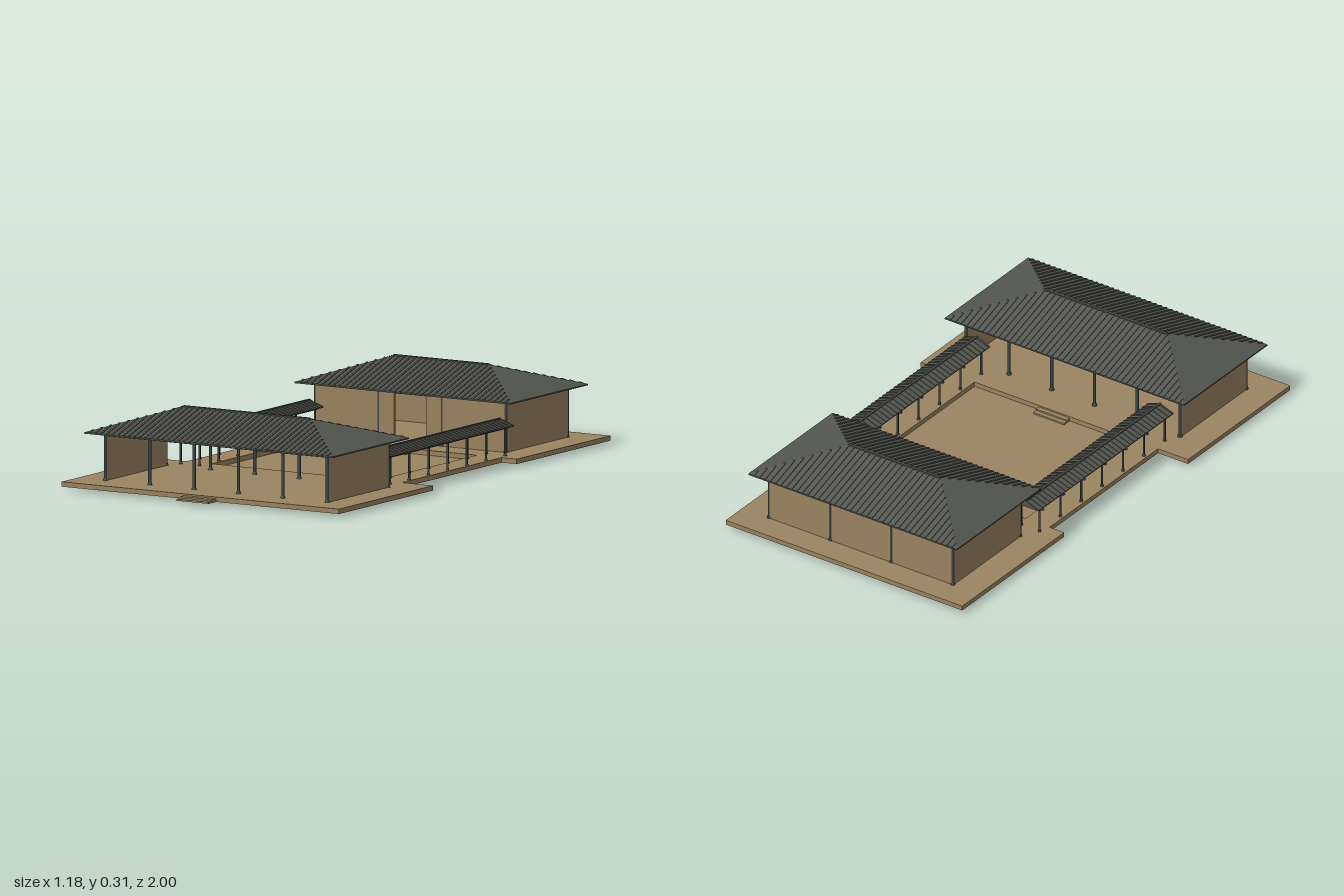
import * as THREE from 'three';
import { mergeGeometries } from 'three/addons/utils/BufferGeometryUtils.js';

const material = (name, color) => {
  const m = new THREE.MeshStandardMaterial({ color });
  m.name = name;
  return m;
};

export function createModel() {
  const sand = material('sandstone', 0x9b8461);
  const tile = material('roofTile', 0x535550);
  const wood = material('darkWood', 0x41484a);
  const model = new THREE.Group();

  const add = (parent, name, geometry, mat) => {
    const mesh = new THREE.Mesh(geometry, mat);
    mesh.name = name;
    parent.add(mesh);
    return mesh;
  };
  // Box given by its limits on each axis
  const block = (parent, name, mat, x0, x1, y0, y1, z0, z1) => {
    const g = new THREE.BoxGeometry(x1 - x0, y1 - y0, z1 - z0);
    g.translate((x0 + x1) / 2, (y0 + y1) / 2, (z0 + z1) / 2);
    return add(parent, name, g, mat);
  };
  // Bar running between two points
  const bar = (a, b, width, height) => {
    const o = new THREE.Object3D();
    const from = new THREE.Vector3(...a), to = new THREE.Vector3(...b);
    const g = new THREE.BoxGeometry(width, height, from.distanceTo(to));
    o.position.copy(from);
    o.lookAt(to);
    o.position.lerp(to, 0.5);
    o.updateMatrix();
    return g.applyMatrix4(o.matrix);
  };
  const post = (parent, x, z, y0, y1, r) => {
    const shaft = new THREE.CylinderGeometry(r, r, y1 - y0, 10);
    shaft.translate(x, (y0 + y1) / 2, z);
    const foot = new THREE.CylinderGeometry(r * 1.1, r * 1.6, 0.008, 10);
    foot.translate(x, y0 + 0.004, z);
    add(parent, 'post', mergeGeometries([shaft, foot]), wood);
  };

  // Closed hipped roof: flat soffit, thin fascia, four slopes up to a ridge
  const hipRoof = (w, d, ridge, y0, y1, y2) => {
    const rect = (y) => [[-w, y, d], [w, y, d], [w, y, -d], [-w, y, -d]];
    const lo = rect(y0), hi = rect(y1);
    const L = [-ridge, y2, 0], R = [ridge, y2, 0];
    const p = [];
    const quad = (a, b, c, e) => p.push(...a, ...b, ...c, ...a, ...c, ...e);
    quad(lo[3], lo[2], lo[1], lo[0]);
    for (let i = 0; i < 4; i++) {
      const j = (i + 1) % 4;
      quad(lo[i], lo[j], hi[j], hi[i]);
    }
    quad(hi[0], hi[1], R, L);
    quad(hi[2], hi[3], L, R);
    p.push(...hi[1], ...hi[2], ...R, ...hi[3], ...hi[0], ...L);
    const g = new THREE.BufferGeometry();
    g.setAttribute('position', new THREE.Float32BufferAttribute(p, 3));
    g.computeVertexNormals();
    return g;
  };

  // Hall roof with tile ribs on the two long slopes
  const hallRoof = (parent, w, d, ridge, eave, top) => {
    const y1 = eave + 0.005;
    add(parent, 'hipRoof', hipRoof(w, d, ridge, eave, y1, top - 0.003), tile);
    const ribs = [];
    const n = Math.round((2 * w) / 0.0235);
    for (let i = 1; i < n; i++) {
      const x = -w + (2 * w * i) / n;
      const t = Math.min(1, (w - Math.abs(x)) / (w - ridge));
      for (const s of [-1, 1]) {
        ribs.push(bar([x, y1, s * d], [x, y1 + (top - 0.003 - y1) * t, s * d * (1 - t)], 0.008, 0.005));
      }
    }
    add(parent, 'tileRibs', mergeGeometries(ribs), tile);
    add(parent, 'ridgeCap', bar([-ridge, top - 0.003, 0], [ridge, top - 0.003, 0], 0.01, 0.007), tile);
  };

  // Eave beams around the post heads
  const beams = (parent, x, z, y0, y1) => {
    for (const s of [-1, 1]) {
      block(parent, 'longBeam', wood, -x, x, y0, y1, s * z - 0.005, s * z + 0.005);
      block(parent, 'endBeam', wood, s * x - 0.005, s * x + 0.005, y0, y1, -z, z);
    }
  };

  // Terraces and sunken courtyard
  const base = 0.012, floor = 0.03;
  block(model, 'frontTerrace', sand, -0.59, 0.59, base, floor, 0.31, 0.947);
  block(model, 'rearTerrace', sand, -0.522, 0.522, base, floor, -1, -0.365);
  block(model, 'courtyard', sand, -0.352, 0.352, 0, base, -0.365, 0.31);
  for (const s of [-1, 1]) {
    const [a, b] = s > 0 ? [0.352, 0.458] : [-0.458, -0.352];
    block(model, 'corridorFloor', sand, a, b, base, floor, -0.365, 0.31);
  }

  // Steps: at the entrance and on both sides of the courtyard
  for (let i = 0; i < 2; i++) {
    const y = floor - 0.006 * (i + 1);
    block(model, 'entranceStep', sand, -0.068, 0.068, base, y, 0.947, 0.947 + 0.0265 * (i + 1));
    block(model, 'courtyardStep', sand, -0.068, 0.068, base, y, -0.365, -0.365 + 0.0175 * (i + 1));
    block(model, 'courtyardStep', sand, -0.068, 0.068, base, y, 0.31 - 0.0175 * (i + 1), 0.31);
  }

  // Front hall: end walls, open on both long sides
  const front = new THREE.Group();
  front.name = 'frontHall';
  front.position.z = 0.632;
  model.add(front);
  hallRoof(front, 0.528, 0.26, 0.268, 0.203, 0.293);
  beams(front, 0.472, 0.205, 0.193, 0.204);
  for (const s of [-1, 1]) {
    block(front, 'endWall', sand, s * 0.472 - 0.005, s * 0.472 + 0.005, floor, 0.2, -0.205, 0.205);
    for (let i = 0; i < 6; i++) post(front, -0.472 + i * 0.1888, s * 0.205, floor, 0.203, 0.006);
  }

  // Rear hall: walled, with a doorway to the courtyard
  const rear = new THREE.Group();
  rear.name = 'rearHall';
  rear.position.z = -0.685;
  model.add(rear);
  hallRoof(rear, 0.46, 0.262, 0.202, 0.216, 0.308);
  beams(rear, 0.405, 0.208, 0.206, 0.217);
  block(rear, 'backWall', sand, -0.405, 0.405, floor, 0.213, -0.212, -0.202);
  for (const s of [-1, 1]) {
    block(rear, 'endWall', sand, s * 0.405 - 0.005, s * 0.405 + 0.005, floor, 0.213, -0.208, 0.208);
    const [a, b] = s > 0 ? [0.068, 0.405] : [-0.405, -0.068];
    block(rear, 'frontWall', sand, a, b, floor, 0.213, 0.203, 0.213);
    for (let i = 0; i < 4; i++) post(rear, -0.405 + i * 0.27, s * 0.208, floor, 0.216, 0.006);
  }

  // Covered corridors joining the halls
  for (const side of [-1, 1]) {
    const corridor = new THREE.Group();
    corridor.name = side > 0 ? 'leftCorridor' : 'rightCorridor';
    corridor.position.x = side * 0.405;
    model.add(corridor);

    const gable = new THREE.Shape();
    gable.moveTo(-0.058, 0.134);
    gable.lineTo(0.058, 0.134);
    gable.lineTo(0.058, 0.137);
    gable.lineTo(0, 0.158);
    gable.lineTo(-0.058, 0.137);
    gable.closePath();
    const roof = new THREE.ExtrudeGeometry(gable, { depth: 0.84, bevelEnabled: false });
    roof.translate(0, 0, -0.44);
    add(corridor, 'gableRoof', roof, tile);

    const ribs = [];
    for (let i = 0; i <= 35; i++) {
      const z = -0.435 + (i * 0.83) / 35;
      for (const s of [-1, 1]) ribs.push(bar([s * 0.058, 0.137, z], [0, 0.158, z], 0.008, 0.004));
    }
    add(corridor, 'tileRibs', mergeGeometries(ribs), tile);
    add(corridor, 'ridgeCap', bar([0, 0.159, -0.44], [0, 0.159, 0.4], 0.008, 0.005), tile);

    for (const s of [-1, 1]) {
      block(corridor, 'beam', wood, s * 0.04 - 0.003, s * 0.04 + 0.003, 0.128, 0.135, -0.43, 0.39);
      for (let i = 0; i < 7; i++) post(corridor, s * 0.04, 0.37 - i * 0.13, floor, 0.134, 0.004);
    }
  }
  return model;
}
